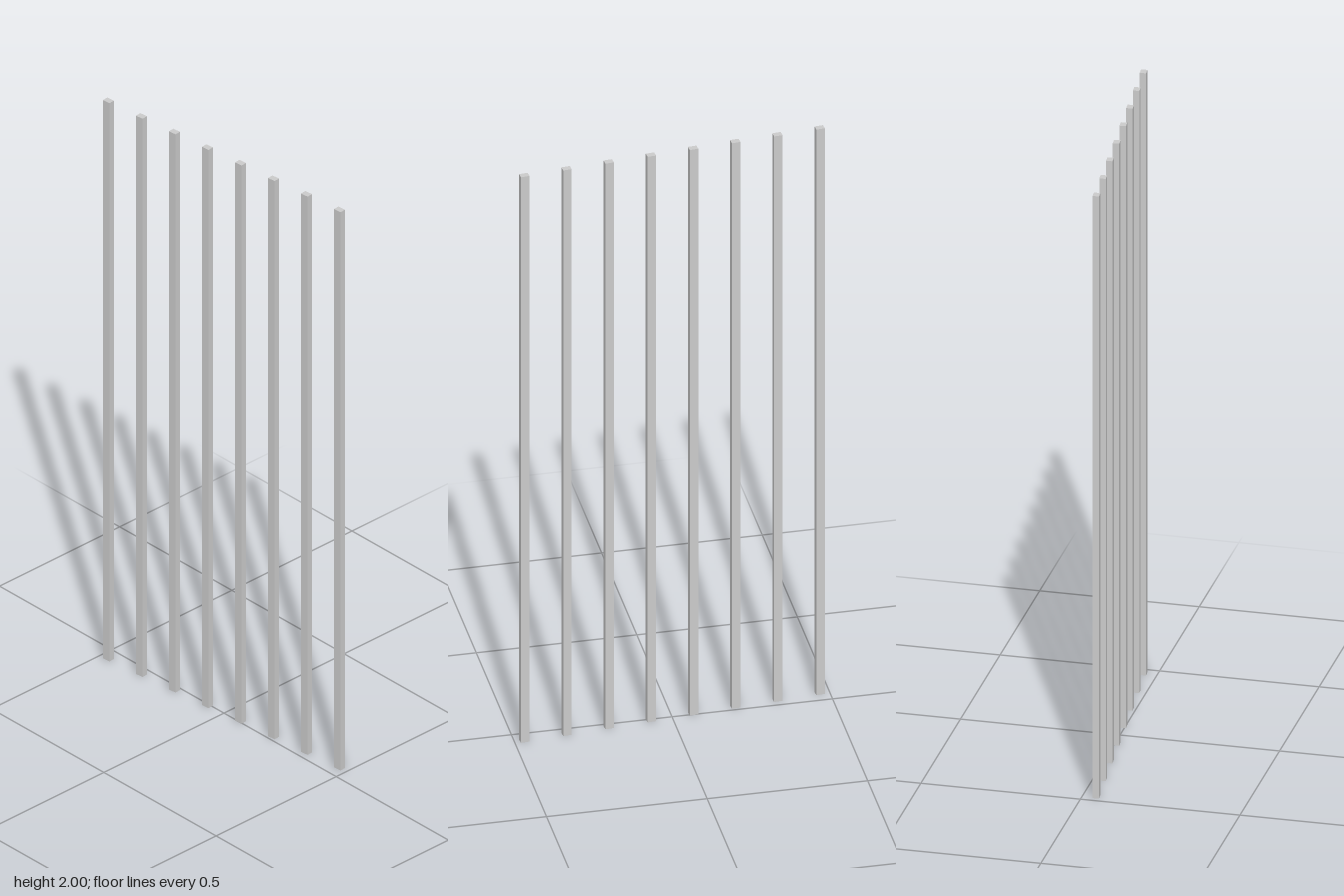
import * as THREE from 'three';

export function createModel() {
  const model = new THREE.Group();
  model.name = 'barRow';

  const material = new THREE.MeshStandardMaterial({ color: 0xcccccc, flatShading: true });
  const count = 8;
  const spacing = 0.1346;
  const height = 2;
  const barGeometry = new THREE.BoxGeometry(0.027, height, 0.02);

  // Evenly spaced upright bars
  for (let i = 0; i < count; i++) {
    const bar = new THREE.Mesh(barGeometry, material);
    bar.name = `verticalBar${i + 1}`;
    bar.position.set((i - (count - 1) / 2) * spacing, height / 2, 0);
    model.add(bar);
  }

  // The whole row is turned slightly about the vertical axis
  model.rotation.y = THREE.MathUtils.degToRad(5.2);

  const root = new THREE.Group();
  root.name = 'barScreen';
  root.add(model);
  return root;
}
